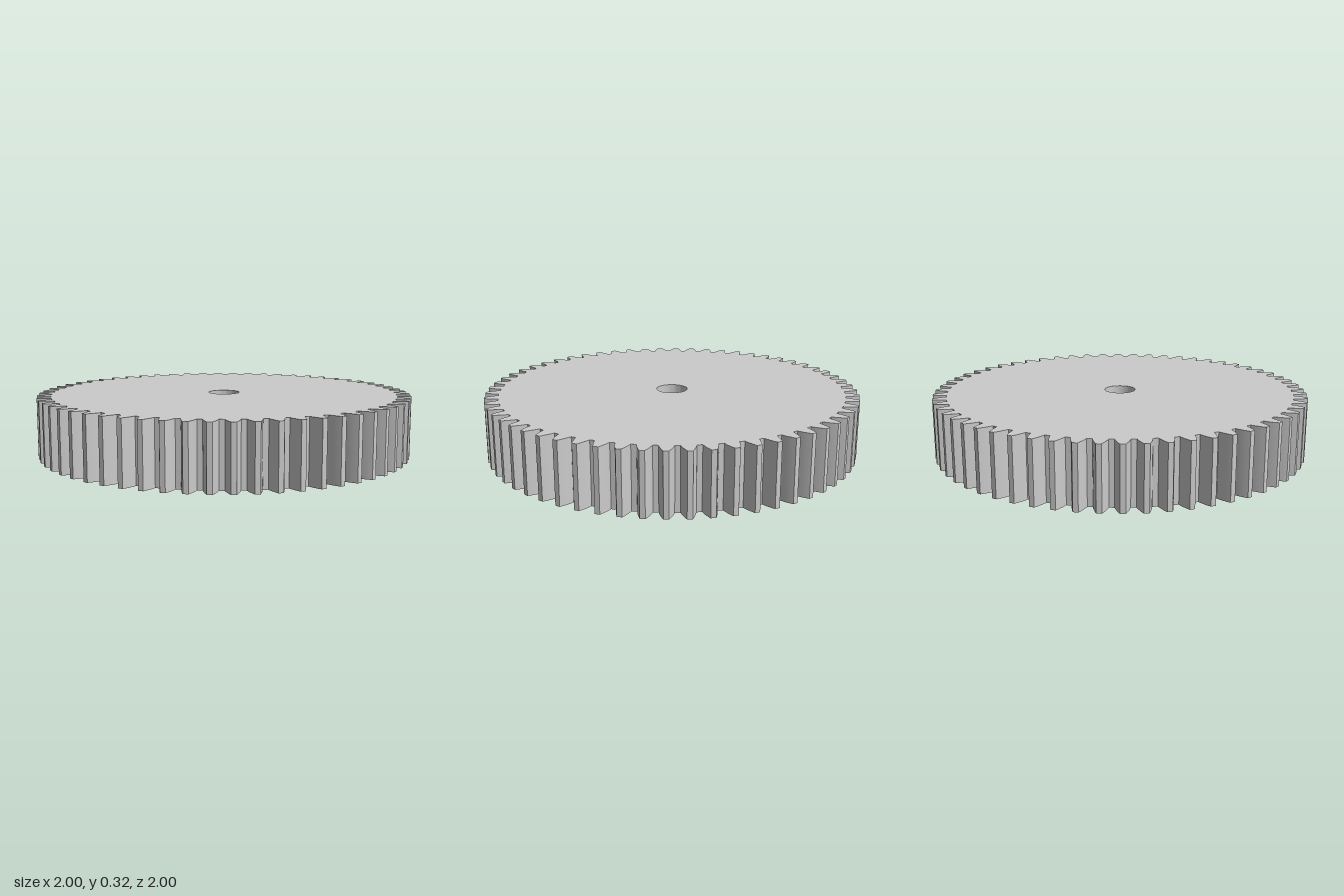
import * as THREE from 'three';
import { toCreasedNormals } from 'three/addons/utils/BufferGeometryUtils.js';

const TEETH = 60;
const THICKNESS = 0.32;
const BORE_RADIUS = 0.083;
const TIP_RADIUS = 1;
const MODULE = (2 * TIP_RADIUS) / (TEETH + 2);
const PITCH_RADIUS = (MODULE * TEETH) / 2;
const ROOT_RADIUS = PITCH_RADIUS - 1.25 * MODULE;
const PRESSURE_ANGLE = THREE.MathUtils.degToRad(20);
const BASE_RADIUS = PITCH_RADIUS * Math.cos(PRESSURE_ANGLE);
const FLANK_STEPS = 5;

const involute = (a) => Math.tan(a) - a;

// Half the angle a tooth spans at radius r, following the involute flank
function toothHalfAngle(r) {
  return Math.PI / (2 * TEETH) + involute(PRESSURE_ANGLE) - involute(Math.acos(BASE_RADIUS / r));
}

// Outline of the toothed wheel with the shaft bore cut out
function gearShape() {
  const points = [];
  const add = (r, a) => points.push(new THREE.Vector2(r * Math.cos(a), r * Math.sin(a)));
  for (let t = 0; t < TEETH; t++) {
    const centre = (t / TEETH) * Math.PI * 2;
    for (const side of [-1, 1]) {
      for (let i = 0; i <= FLANK_STEPS; i++) {
        const k = (side < 0 ? i : FLANK_STEPS - i) / FLANK_STEPS;
        const r = THREE.MathUtils.lerp(ROOT_RADIUS, TIP_RADIUS, k);
        add(r, centre + side * toothHalfAngle(r));
      }
      // middle of the tip land keeps the full outer radius
      if (side < 0) add(TIP_RADIUS, centre);
    }
  }
  const shape = new THREE.Shape(points);
  shape.holes.push(new THREE.Path().absarc(0, 0, BORE_RADIUS, 0, Math.PI * 2, true));
  return shape;
}

export function createModel() {
  const group = new THREE.Group();
  group.name = 'spurGear';

  // Solid wheel lying flat on the ground, axis upright
  const extruded = new THREE.ExtrudeGeometry(gearShape(), {
    depth: THICKNESS,
    bevelEnabled: false,
    curveSegments: 32,
  });
  extruded.rotateX(-Math.PI / 2);
  const wheel = new THREE.Mesh(
    toCreasedNormals(extruded, THREE.MathUtils.degToRad(20)),
    new THREE.MeshStandardMaterial({ color: 0xcccccc })
  );
  wheel.name = 'toothedWheel';
  group.add(wheel);
  return group;
}
